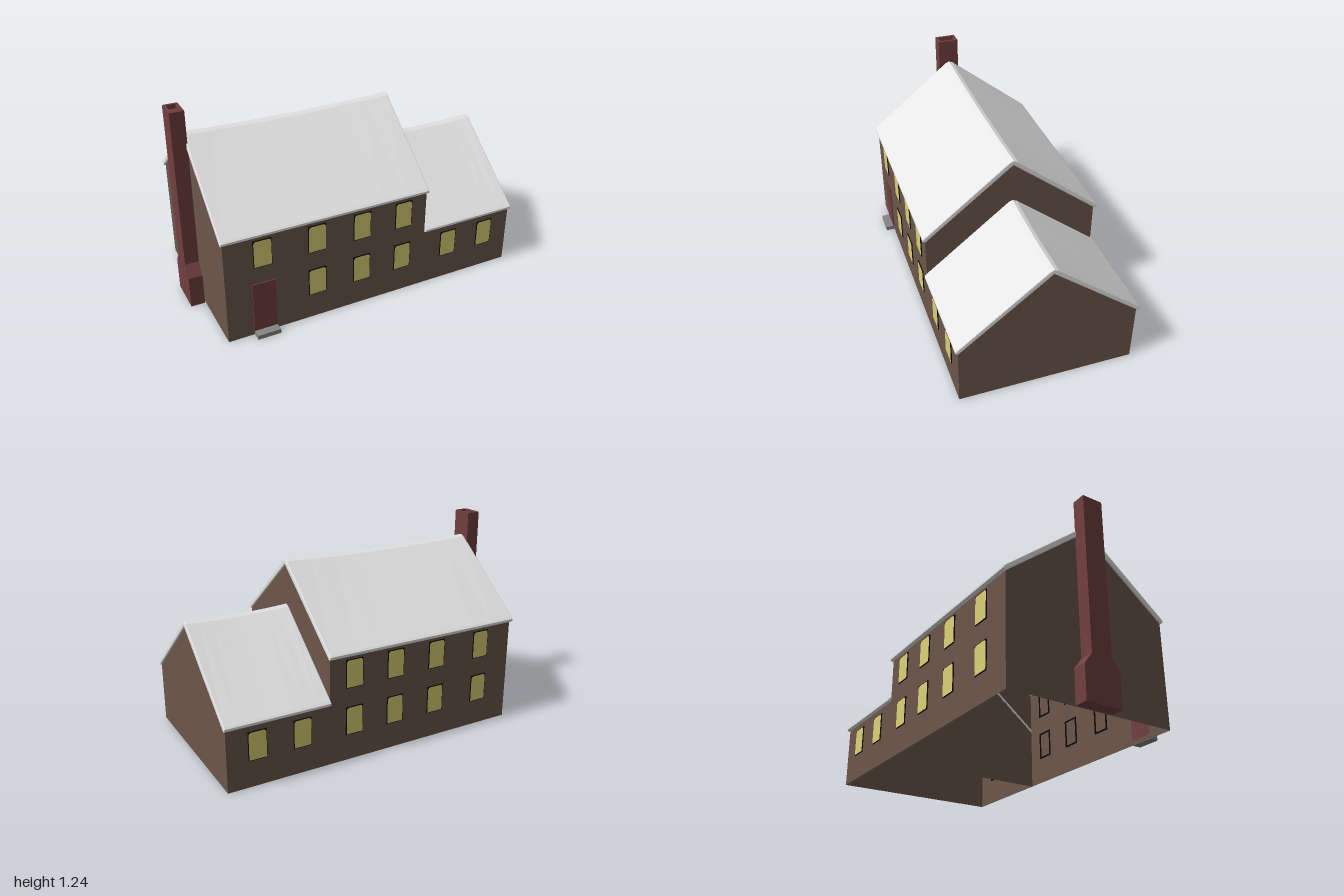
import * as THREE from 'three';

const material = (name, color, side = THREE.FrontSide) => {
  const m = new THREE.MeshStandardMaterial({ color, side });
  m.name = name;
  return m;
};

const ZC = -0.018;    // ridge line of the house
const HALF = 0.522;   // half depth of the walls
const DROP = 0.272;   // how much lower the wing is than the main house

const polygon = (points) => new THREE.Shape(points.map(([x, y]) => new THREE.Vector2(x, y)));
const rectangle = (w, h, Type = THREE.Shape) => {
  const s = new Type();
  s.moveTo(-w / 2, -h / 2);
  s.lineTo(w / 2, -h / 2);
  s.lineTo(w / 2, h / 2);
  s.lineTo(-w / 2, h / 2);
  s.closePath();
  return s;
};

export function createModel() {
  const wallMat = material('brown wall', 0x6c564b, THREE.DoubleSide);
  const roofMat = material('pale roof', 0xe6e6e6);
  const redMat = material('dark red brick', 0x723f3f);
  const paneMat = material('lit yellow pane', 0xdcd274);
  const frameMat = material('black frame', 0x0c0c0c);
  const stoneMat = material('grey stone', 0x858585);

  const model = new THREE.Group();
  model.name = 'house';
  const add = (name, geometry, mat, parent = model) => {
    const mesh = new THREE.Mesh(geometry, mat);
    mesh.name = name;
    parent.add(mesh);
    return mesh;
  };

  // Thin walls, open underneath
  const longWalls = (name, x0, x1, height) => {
    for (const side of [1, -1]) {
      const wall = add(name + (side > 0 ? 'FrontWall' : 'BackWall'), new THREE.PlaneGeometry(x1 - x0, height), wallMat);
      wall.position.set((x0 + x1) / 2, height / 2, ZC + side * HALF);
      if (side < 0) wall.rotation.y = Math.PI;
    }
  };
  const gable = (name, x, drop, direction) => {
    const shape = polygon([[-HALF, 0], [HALF, 0], [HALF, 0.645 - drop], [0, 1.06 - drop], [-HALF, 0.645 - drop]]);
    const wall = add(name, new THREE.ShapeGeometry(shape), wallMat);
    wall.rotation.y = direction * Math.PI / 2;
    wall.position.set(x, 0, ZC);
  };
  longWalls('main', -0.91, 0.36, 0.645);
  longWalls('wing', 0.36, 0.985, 0.645 - DROP);
  gable('chimneyGable', -0.91, 0, -1);
  gable('middleGable', 0.36, 0, 1);
  gable('wingGable', 0.985, DROP, 1);

  // Roofs: a chevron section run along x, with a sagging ridge
  const half = [[0.525, 0.638], [0.54, 0.648], [0.54, 0.661], [0.53, 0.671], [0.025, 1.078]];
  const mirrored = half.map(([x, y]) => [-x, y]).reverse();
  const section = polygon([[0, 1.056], ...half, [0, 1.089], ...mirrored]);
  const roof = (name, x0, x1, drop, sag) => {
    const bevel = 0.006;
    const length = x1 - x0;
    const geo = new THREE.ExtrudeGeometry(section, {
      depth: length - 2 * bevel, steps: 8, bevelEnabled: true,
      bevelThickness: bevel, bevelSize: bevel, bevelOffset: -bevel, bevelSegments: 2,
    });
    geo.rotateY(Math.PI / 2);
    geo.translate(x0 + bevel, -drop, ZC - 0.002);
    const p = geo.attributes.position;
    for (let i = 0; i < p.count; i++) {
      const t = (2 * (p.getX(i) - x0)) / length - 1;
      const toRidge = 1 - Math.min(1, Math.abs(p.getZ(i) - ZC) / 0.54);
      p.setY(i, p.getY(i) - sag * (1 - t * t) * toRidge);
    }
    geo.computeVertexNormals();
    add(name, geo, roofMat);
  };
  roof('mainRoof', -0.922, 0.37, 0, 0.016);
  roof('wingRoof', 0.36, 0.996, DROP, 0.011);

  // Windows: a black frame through the wall with a pane in front
  const frameShape = rectangle(0.11, 0.172);
  frameShape.holes.push(rectangle(0.092, 0.154, THREE.Path));
  const frameGeo = new THREE.ExtrudeGeometry(frameShape, { depth: 0.01, bevelEnabled: false });
  frameGeo.translate(0, 0, -0.005);
  const paneGeo = new THREE.ShapeGeometry(polygon([
    [-0.052, -0.082], [0.052, -0.082], [0.052, 0.07], [0.042, 0.082], [-0.042, 0.082], [-0.052, 0.07],
  ]));
  paneGeo.translate(0, 0, 0.0065);
  const addWindow = (x, y, side) => {
    const group = new THREE.Group();
    group.name = 'window';
    add('windowFrame', frameGeo, frameMat, group);
    add('windowPane', paneGeo, paneMat, group);
    group.position.set(x, y, ZC + side * HALF);
    if (side < 0) group.rotation.y = Math.PI;
    model.add(group);
  };
  const mainX = [-0.685, -0.357, -0.07, 0.205];
  const wingX = [0.535, 0.805];
  for (const side of [1, -1]) {
    for (const x of mainX) addWindow(x, 0.535, side);
    for (const x of [...mainX, ...wingX]) {
      if (side < 0 || x !== mainX[0]) addWindow(x, 0.247, side);
    }
  }

  // Door and doorstep
  add('door', new THREE.BoxGeometry(0.14, 0.315, 0.007), redMat).position.set(-0.685, 0.185, ZC + HALF + 0.0035);
  add('doorstep', new THREE.BoxGeometry(0.14, 0.027, 0.055), stoneMat).position.set(-0.685, 0.0135, 0.5325);

  // Chimney: wide foot, sloped shoulders, straight stack
  const stack = new THREE.ExtrudeGeometry(polygon([
    [-0.115, 0], [0.115, 0], [0.115, 0.2], [0.065, 0.27],
    [0.065, 1.21], [-0.065, 1.21], [-0.065, 0.27], [-0.115, 0.2],
  ]), { depth: 0.085, bevelEnabled: false });
  stack.rotateY(Math.PI / 2);
  add('chimneyStack', stack, redMat).position.set(-1, 0, ZC);

  // Raised rim around the flue
  const rimShape = rectangle(0.085, 0.13);
  rimShape.holes.push(rectangle(0.055, 0.1, THREE.Path));
  const rim = new THREE.ExtrudeGeometry(rimShape, { depth: 0.027, bevelEnabled: false });
  rim.rotateX(-Math.PI / 2);
  add('chimneyRim', rim, redMat).position.set(-0.9575, 1.21, ZC);

  return model;
}
